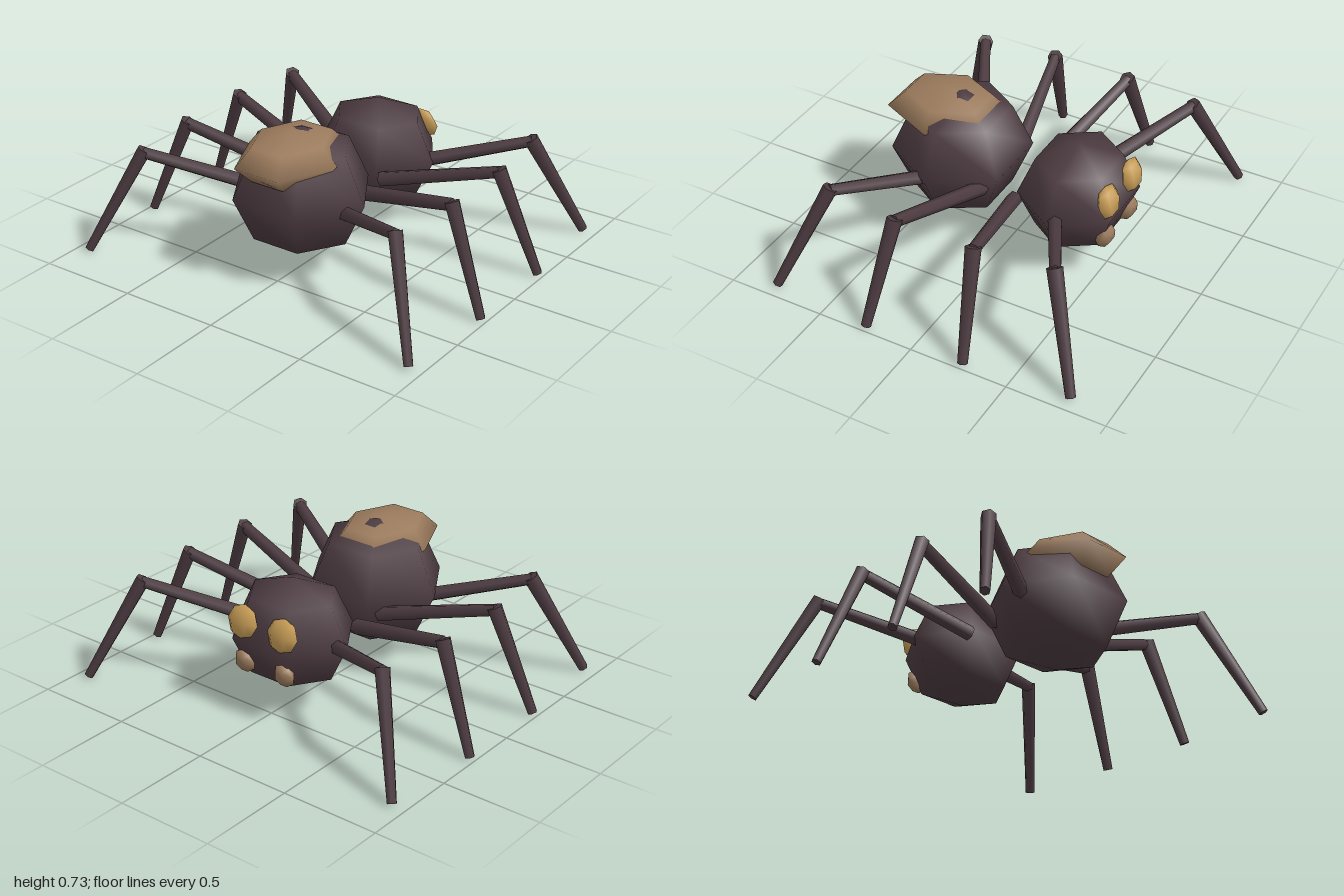
import * as THREE from 'three';

const material = (name, color) => {
  const m = new THREE.MeshStandardMaterial({ color });
  m.name = name;
  return m;
};

export function createModel() {
  const spider = new THREE.Group();
  spider.name = 'spider';

  const dark = material('dark brown', 0x4c3b41);
  const tan = material('tan', 0x9a7a5c);
  const gold = material('gold', 0xc69c56);

  // Coarse six-sided ellipsoid, used for the body, the patch and the eyes
  const ball = new THREE.SphereGeometry(1, 6, 4);
  const addBall = (name, mat, position, radii, tilt = 0) => {
    const mesh = new THREE.Mesh(ball, mat);
    mesh.name = name;
    mesh.position.set(...position);
    mesh.scale.set(...radii);
    mesh.rotation.x = tilt;
    spider.add(mesh);
  };

  // Tapered six-sided limb between two points
  const limb = (name, from, to, r0, r1) => {
    const a = new THREE.Vector3(...from);
    const b = new THREE.Vector3(...to);
    const axis = b.clone().sub(a);
    const mesh = new THREE.Mesh(new THREE.CylinderGeometry(r1, r0, axis.length(), 6), dark);
    mesh.name = name;
    mesh.position.copy(a).add(b).multiplyScalar(0.5);
    mesh.quaternion.setFromUnitVectors(new THREE.Vector3(0, 1, 0), axis.normalize());
    return mesh;
  };

  // Body; the top of the abdomen just pokes through the patch
  addBall('abdomen', dark, [0, 0.415, 0.305], [0.36, 0.317, 0.34]);
  addBall('abdomenPatch', tan, [0, 0.61, 0.375], [0.25, 0.121, 0.317]);
  addBall('head', dark, [0, 0.38, -0.335], [0.325, 0.272, 0.285]);

  // Eyes, tilted to lie against the head
  for (const [side, s] of [['left', 1], ['right', -1]]) {
    addBall(`${side}UpperEye`, gold, [s * 0.12, 0.47, -0.553], [0.09, 0.083, 0.04], 0.25);
    addBall(`${side}LowerEye`, tan, [s * 0.12, 0.262, -0.542], [0.056, 0.065, 0.044], -0.38);
  }

  // Legs, mirrored in x and z: hip, knee, foot
  const legs = [
    ['Outer', [0.25, 0.375, 0.34], [0.725, 0.51, 0.595], [0.93, 0.011, 0.79]],
    ['Inner', [0.185, 0.355, 0.088], [0.775, 0.51, 0.208], [0.973, 0.01, 0.26]],
  ];
  for (const [side, sx] of [['left', 1], ['right', -1]]) {
    for (const [end, sz] of [['Front', 1], ['Back', -1]]) {
      for (const [kind, ...points] of legs) {
        const [hip, knee, foot] = points.map(([x, y, z]) => [x * sx, y, z * sz]);
        const leg = new THREE.Group();
        leg.name = `${side}${end}${kind}Leg`;
        leg.add(limb('upperLeg', hip, knee, 0.038, 0.03));
        // The shin starts a little above the knee joint
        const top = knee.map((v, i) => v + (v - foot[i]) * 0.03);
        leg.add(limb('lowerLeg', top, foot, 0.038, 0.024));
        spider.add(leg);
      }
    }
  }
  return spider;
}
